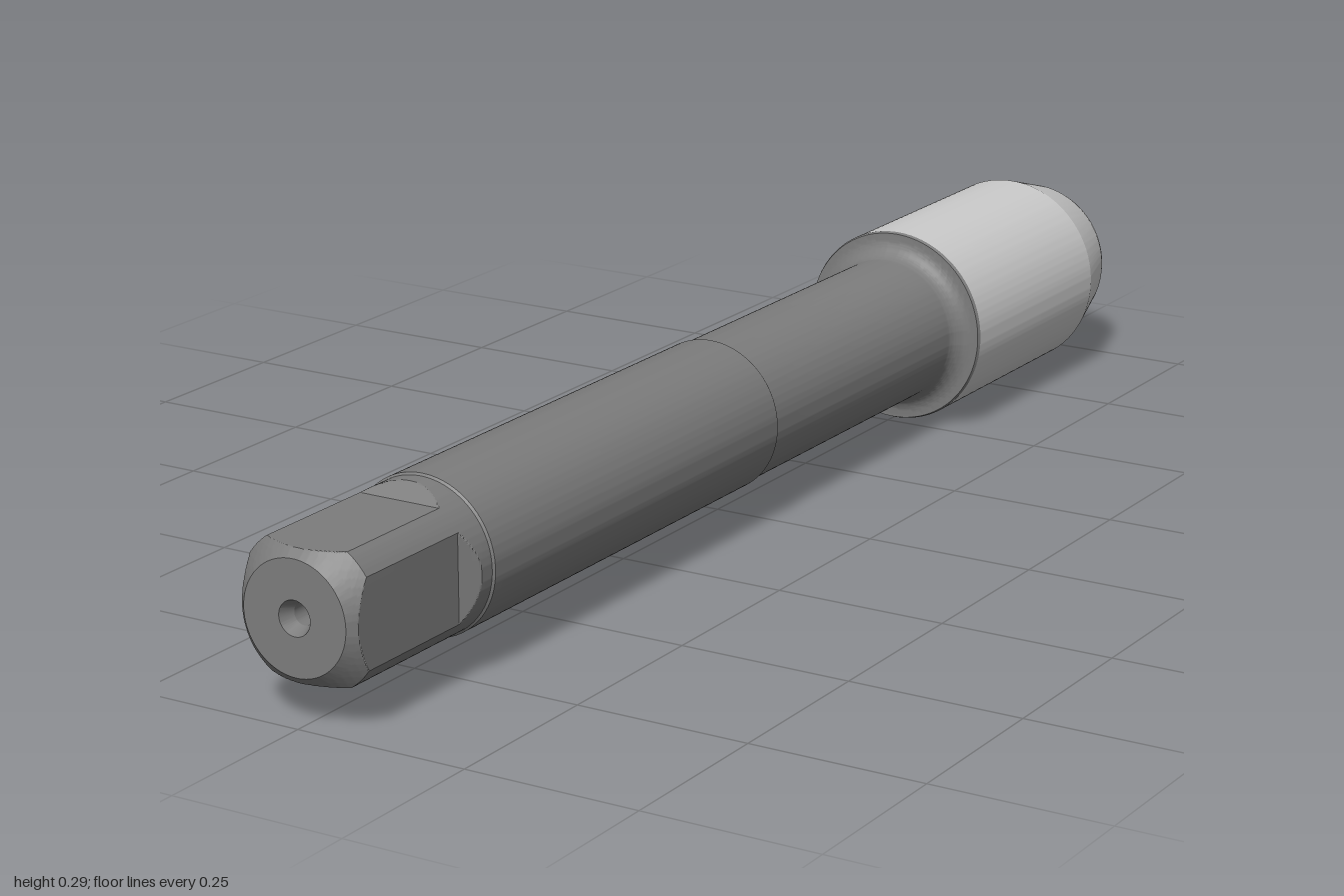
import * as THREE from 'three';
import { toCreasedNormals } from 'three/addons/utils/BufferGeometryUtils.js';

const AXIS_Y = 0.146;    // height of the tool's axis
const SEGMENTS = 240;
const FLAT = 0.089;      // half width across the drive flats
const ROUND = 0.108;     // radius of the drive corners and collar

// Half width of the square at a given z: it runs out into the round collar.
function squareHalf(z) {
  const t = THREE.MathUtils.clamp((0.775 - z) / 0.025, 0, 1);
  return z < 0.75 ? Infinity : THREE.MathUtils.lerp(FLAT, ROUND, t);
}

// Revolves [radius, z] points, ordered from back to front, about the z axis.
function turned(name, points, color, squared = false) {
  const lathe = new THREE.LatheGeometry(points.map(([r, z]) => new THREE.Vector2(r, z)), SEGMENTS);
  lathe.rotateX(Math.PI / 2);
  if (squared) {
    const p = lathe.attributes.position;
    for (let i = 0; i < p.count; i++) {
      const f = squareHalf(p.getZ(i));
      p.setX(i, THREE.MathUtils.clamp(p.getX(i), -f, f));
      p.setY(i, THREE.MathUtils.clamp(p.getY(i), -f, f));
    }
  }
  const mesh = new THREE.Mesh(toCreasedNormals(lathe, 0.2), new THREE.MeshStandardMaterial({ color }));
  mesh.name = name;
  return mesh;
}

// Evenly spaced points from a to b, both included.
function steps(a, b, n) {
  return Array.from({ length: n + 1 }, (_, i) => a.map((v, k) => THREE.MathUtils.lerp(v, b[k], i / n)));
}

export function createModel() {
  const model = new THREE.Group();
  const tool = new THREE.Group();
  tool.name = 'tool';
  tool.position.y = AXIS_Y;
  model.add(tool);

  // Cutting head with tapered tip and centre hole in its end
  tool.add(turned('head', [
    [0, -0.955], [0.012, -0.965], [0.022, -1], [0.107, -1], [0.113, -0.996], [0.118, -0.985],
    [0.146, -0.89], [0.146, -0.52],
  ], 0xcccccc));

  // Fillet from the head down to the neck, then neck and thicker shank
  const fillet = Array.from({ length: 13 }, (_, i) => {
    const a = (i / 12) * Math.PI / 2;
    return [0.138 - 0.03 * Math.sin(a), -0.485 - 0.03 * Math.cos(a)];
  });
  const dark = 0x7c7c7c;
  tool.add(turned('shank', [
    [0.146, -0.52], [0.144, -0.515], ...fillet,
    [0.108, 0.015], [0.111, 0.02], [0.111, 0.724], [ROUND, 0.727],
  ], dark));

  // Collar, square drive with chamfered end, and centre hole
  tool.add(turned('squareDrive', [
    [ROUND, 0.727],
    ...steps([ROUND, 0.75], [ROUND, 0.775], 8),
    ...steps([ROUND, 0.97], [FLAT, 0.989], 10),
    [0.078, 1], [0.024, 1], [0.015, 0.98], [0.015, 0.95], [0, 0.94],
  ], dark, true));

  return model;
}
